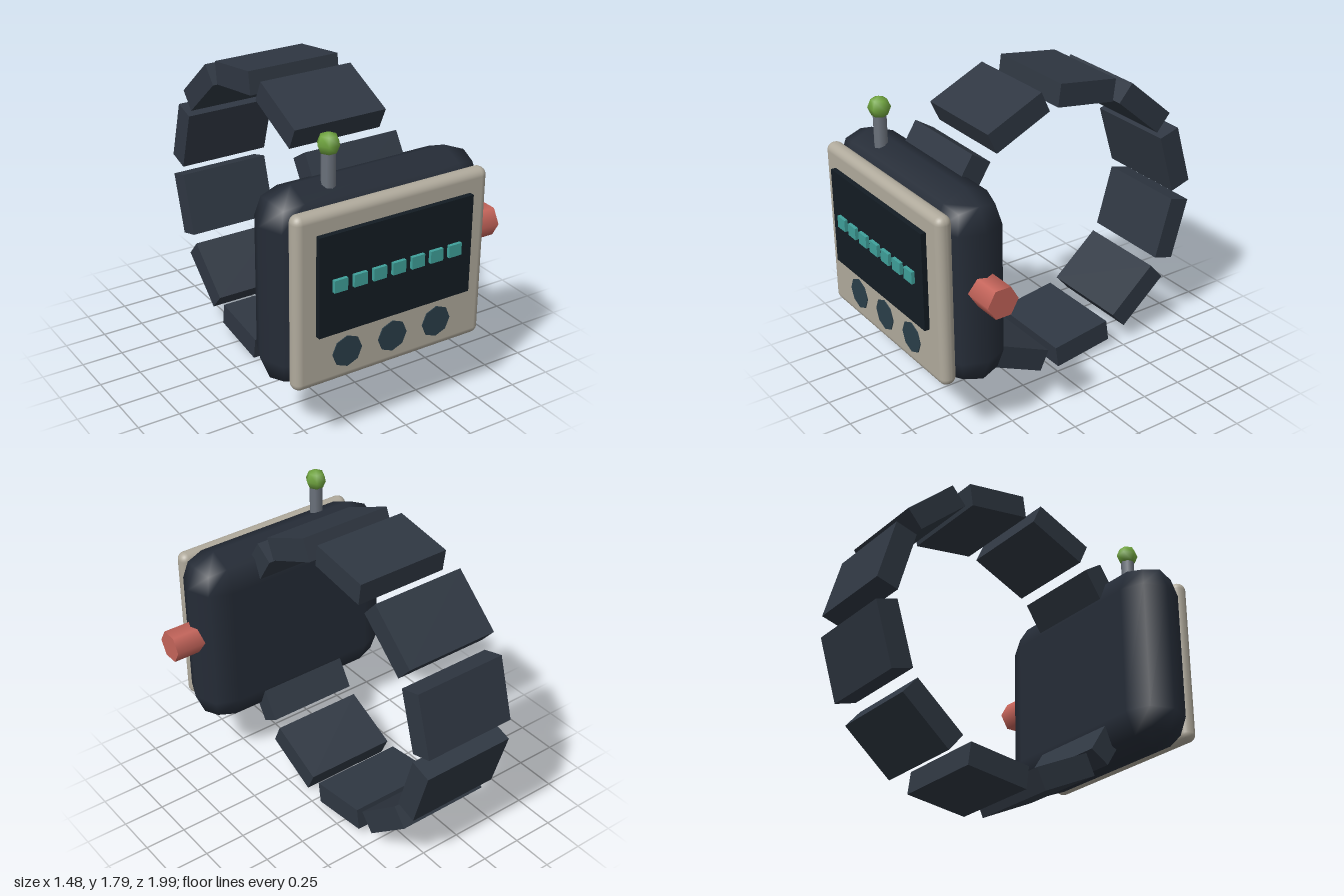
import * as THREE from 'three';
import { RoundedBoxGeometry } from 'three/addons/geometries/RoundedBoxGeometry.js';

const CX = -0.075; // centre line of the watch (the crown sticks out on one side)
const CY = 0.9;

export function createModel() {
  const group = new THREE.Group();
  const mat = (color) => new THREE.MeshStandardMaterial({ color });
  const add = (name, geometry, material, x, y, z) => {
    const mesh = new THREE.Mesh(geometry, material);
    mesh.name = name;
    mesh.position.set(x, y, z);
    group.add(mesh);
    return mesh;
  };

  // Case with chunky bevelled edges, and the face plate in front
  add('case', new RoundedBoxGeometry(1.33, 1.14, 0.38, 1, 0.19), mat(0x252c37), CX, CY, 0.71);
  add('facePlate', new RoundedBoxGeometry(1.19, 1.0, 0.095, 3, 0.045), mat(0xb0aa9c), CX, CY, 0.902);

  // Screen with a row of lit blocks
  add('screen', new THREE.BoxGeometry(0.95, 0.57, 0.06), mat(0x131c23), CX, 0.998, 0.95);
  const blockGeo = new THREE.BoxGeometry(0.08, 0.07, 0.04);
  const blockMat = mat(0x3fa09a);
  for (let i = -3; i <= 3; i++) add('screenBlock', blockGeo, blockMat, CX + i * 0.119, 0.998, 0.98);

  // Octagonal buttons, nearly flush with the plate
  const buttonGeo = new THREE.CylinderGeometry(0.091, 0.091, 0.05, 8).rotateX(Math.PI / 2);
  const buttonMat = mat(0x2a3e49);
  for (let i = -1; i <= 1; i++) add('button', buttonGeo, buttonMat, CX + i * 0.285, 0.57, 0.93);

  // Hexagonal side crown
  const crownGeo = new THREE.CylinderGeometry(0.094, 0.094, 0.2, 6).rotateZ(Math.PI / 2);
  add('crown', crownGeo, mat(0xc4645a), 0.635, 0.95, 0.71);

  // Antenna with a ball tip
  add('antennaRod', new THREE.CylinderGeometry(0.039, 0.039, 0.25, 8), mat(0x6b727c), -0.36, 1.515, 0.76);
  add('antennaTip', new THREE.SphereGeometry(0.064, 6, 4), mat(0x6fa33f), -0.36, 1.665, 0.76);

  // Strap: a ring of eleven link positions, the one inside the case left out
  const linkGeo = new THREE.BoxGeometry(0.57, 0.38, 0.134);
  const linkMat = mat(0x2f3742);
  const radius = 0.812;
  for (let i = 1; i <= 10; i++) {
    const a = Math.PI + (i * Math.PI * 2) / 11;
    const link = add('strapLink', linkGeo, linkMat, CX, CY + radius * Math.sin(a), -0.098 - radius * Math.cos(a));
    link.rotation.x = a;
  }
  return group;
}
